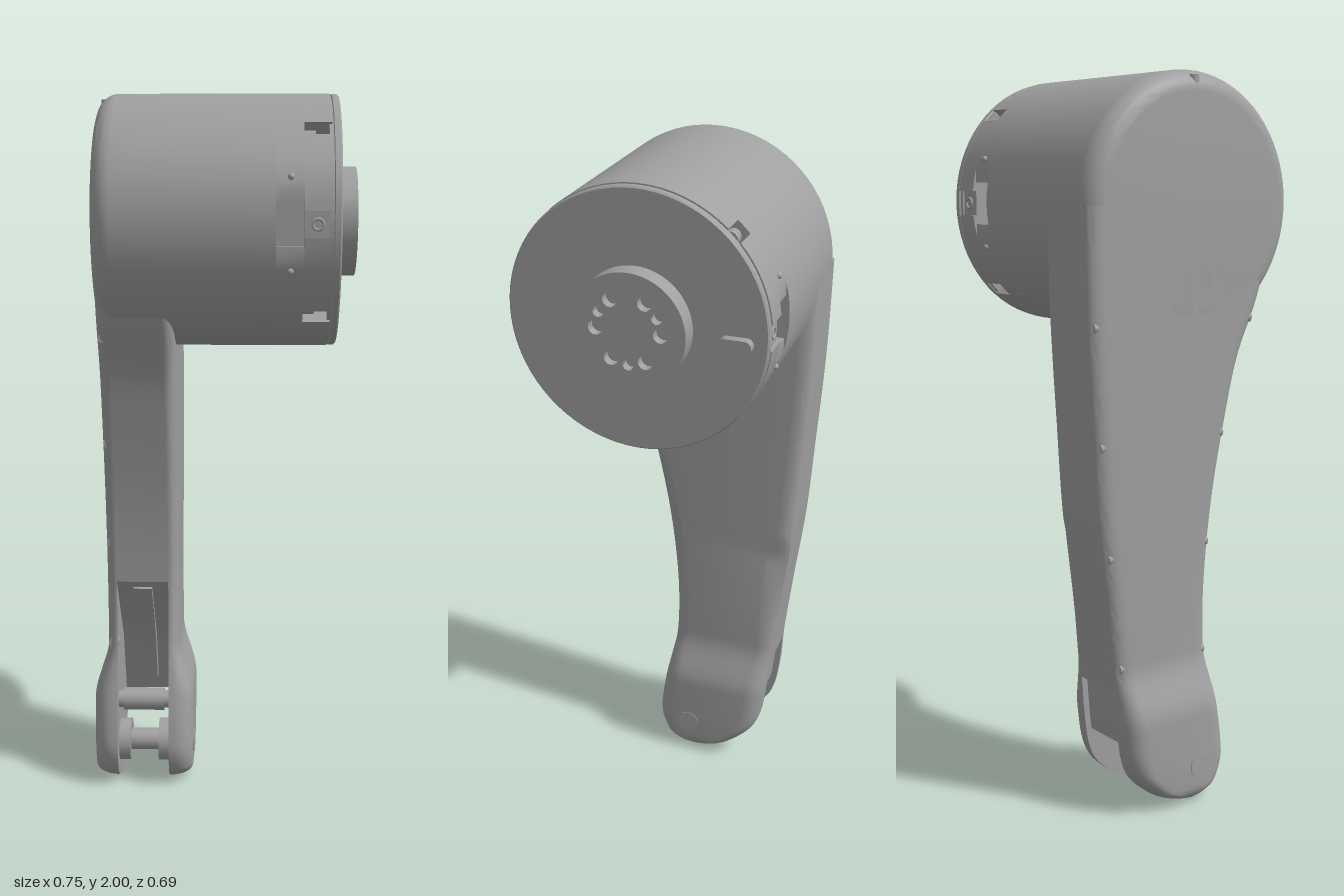
import * as THREE from 'three';
import { toCreasedNormals } from 'three/addons/utils/BufferGeometryUtils.js';

const gray = new THREE.MeshStandardMaterial({ color: 0xa0a0a0 });
gray.name = 'metal gray';

const CY = 1.655, R = 0.345;

// Side outline of the arm: [front z, y, back z]
const outline = new THREE.CatmullRomCurve3([
  [0.01, 0, -0.02], [0.055, 0.02, -0.09], [0.085, 0.05, -0.145], [0.105, 0.11, -0.205],
  [0.103, 0.16, -0.226], [0.09, 0.25, -0.24], [0.07, 0.35, -0.248], [0.058, 0.42, -0.255],
  [0.055, 0.6, -0.275], [0.08, 0.85, -0.305], [0.13, 1.1, -0.322], [0.17, 1.25, -0.332],
  [0.24, 1.41, -0.34], [0.3, CY, -0.345],
].map(p => new THREE.Vector3(...p)), false, 'centripetal').getPoints(300);

function edge(y) {
  let i = outline.findIndex(p => p.y >= y);
  if (i < 0) i = outline.length - 1;
  if (i < 1) return { zf: outline[0].x, zb: outline[0].z };
  const a = outline[i - 1], b = outline[i], t = Math.min(1, (y - a.y) / (b.y - a.y || 1));
  return { zf: a.x + (b.x - a.x) * t, zb: a.z + (b.z - a.z) * t };
}

const range = (a, b, n) => Array.from({ length: n + 1 }, (_, i) => a + (b - a) * i / n);

// Loft of horizontal sections; radii hold [rx, rz, flat] for front right, back right, back left, front left
function loft(ys, section, steps = 6) {
  const pos = [], idx = [], n = 4 * (steps + 1);
  for (const y of ys) {
    const { x0, x1, zf, zb, radii } = section(y);
    for (let k = 0; k < 4; k++) {
      const [rx, rzRaw, flat = 0] = radii[k];
      const rz = Math.min(rzRaw, (zf - zb) / 2);
      const cx = k < 2 ? x1 - rx : x0 + rx;
      const cz = k === 0 || k === 3 ? zf - rz : zb + rz;
      const a0 = k * Math.PI / 2, a1 = a0 + Math.PI / 2;
      for (let j = 0; j <= steps; j++) {
        const t = j / steps, a = a0 + t * Math.PI / 2;
        const mix = f => f(a) * (1 - flat) + (f(a0) * (1 - t) + f(a1) * t) * flat;
        pos.push(cx + rx * mix(Math.sin), y, cz + rz * mix(Math.cos));
      }
    }
  }
  for (let r = 0; r < ys.length - 1; r++) for (let i = 0; i < n; i++) {
    const a = r * n + i, b = r * n + (i + 1) % n;
    idx.push(a, b, a + n, b, b + n, a + n);
  }
  // end caps
  for (const r of [0, ys.length - 1]) {
    const c = pos.length / 3, s = section(ys[r]);
    pos.push((s.x0 + s.x1) / 2, ys[r], (s.zf + s.zb) / 2);
    for (let i = 0; i < n; i++) {
      const a = r * n + i, b = r * n + (i + 1) % n;
      if (r) idx.push(c, a, b);
      else idx.push(c, b, a);
    }
  }
  const g = new THREE.BufferGeometry();
  g.setAttribute('position', new THREE.Float32BufferAttribute(pos, 3));
  g.setIndex(idx);
  return toCreasedNormals(g, 0.6);
}

// Drum slice along x whose outline has stepped notches: { angle, steps: [[halfWidth, depth], ...] }
function notchedDisc(length, notches) {
  const pts = [], at = (a, r, w) => new THREE.Vector2(
    r * Math.cos(a) - w * Math.sin(a), r * Math.sin(a) + w * Math.cos(a));
  notches.forEach((n, i) => {
    const next = notches[(i + 1) % notches.length];
    const half = s => n.steps.flatMap(([w, d], j) => {
      const floor = at(n.angle, R - d, s * w);
      return j ? [at(n.angle, R - n.steps[j - 1][1], s * w), floor] : [floor];
    });
    pts.push(...half(-1), ...half(1).reverse());
    const a0 = n.angle + Math.asin(n.steps[0][0] / R);
    let a1 = next.angle - Math.asin(next.steps[0][0] / R);
    if (a1 <= a0) a1 += Math.PI * 2;
    for (const a of range(a0, a1, Math.ceil((a1 - a0) / 0.08))) pts.push(at(a, R, 0));
  });
  const g = new THREE.ExtrudeGeometry(new THREE.Shape(pts), { depth: length, bevelEnabled: false });
  return toCreasedNormals(g.rotateY(Math.PI / 2), 0.4);
}

export function createModel() {
  const model = new THREE.Group();
  const add = (name, geo, x = 0, y = 0, z = 0) => {
    const m = new THREE.Mesh(geo, gray);
    m.name = name;
    m.position.set(x, y, z);
    model.add(m);
  };
  const rod = (r, x0, x1, y, z, name) =>
    add(name, new THREE.CylinderGeometry(r, r, x1 - x0, 28).rotateZ(Math.PI / 2), (x0 + x1) / 2, y, z);
  const turned = pts => toCreasedNormals(
    new THREE.LatheGeometry(pts.map(p => new THREE.Vector2(...p)), 72).rotateZ(-Math.PI / 2), 0.5);

  // Side layers of the arm, swelling out into the fork prongs
  const bulge = y => 1 - THREE.MathUtils.smoothstep(y, 0.26, 0.43);
  const endInset = y => 0.05 * (1 - Math.sqrt(Math.max(0, 1 - Math.max(0, 1 - y / 0.05) ** 2)));
  const sideYs = [...range(0, 0.05, 8), ...range(0.065, 0.45, 26), ...range(0.47, 0.76, 12),
    0.79, 0.82, ...range(0.86, CY, 22)];
  for (const side of [-1, 1]) {
    add(side < 0 ? 'rightSideArm' : 'leftSideArm', loft(sideYs, y => {
      const b = bulge(y), out = 0.03 + 0.04 * b - endInset(y);
      const round = [Math.min(0.028 + 0.025 * b, out * 0.95), 0.045 + 0.01 * b], sharp = [0, 0];
      const cut = y > 0.43 && y < 0.82 ? Math.min((y - 0.43) / 0.34, (0.82 - y) / 0.05, 1) : 0;
      const chamfer = [round[0], round[1] + 0.025 * cut, cut];
      return { ...edge(y), x0: side < 0 ? -0.305 - out : -0.155, x1: side < 0 ? -0.305 : -0.155 + out,
        radii: side < 0 ? [sharp, sharp, round, round] : [round, chamfer, sharp, sharp] };
    }));
  }

  // Middle layer, with the sloping fork pocket in front
  const wall = y => (y < 0.4 ? -0.19 + (y - 0.2) * 0.35 : -0.12 + (y - 0.4) * 0.795);
  const flat = [0, 0], square = [flat, flat, flat, flat];
  add('armCore', loft([...range(0.2, 0.35, 4), 0.36, 0.4, 0.5, ...range(0.62, CY, 30)], y => {
    const e = edge(y);
    return { x0: -0.305, x1: -0.155, zf: y < 0.62 ? wall(y) : e.zf, zb: e.zb + (y < 0.355 ? 0.018 : 0),
      radii: square };
  }, 1));
  add('pocketRib', loft([0.25, 0.4, 0.48, 0.6], y => ({
    x0: -0.257, x1: -0.203, zf: wall(y) + (y < 0.45 ? 0.035 : 0.02), zb: wall(y) - 0.03, radii: square,
  }), 1));

  // Fork pin, bosses and cross rod
  rod(0.035, -0.377, -0.3, 0.11, 0, 'pinEnd');
  rod(0.035, -0.16, -0.083, 0.11, 0, 'pinEnd');
  rod(0.032, -0.31, -0.15, 0.11, 0, 'forkPin');
  rod(0.062, -0.307, -0.272, 0.11, 0, 'pinBoss');
  rod(0.062, -0.188, -0.153, 0.11, 0, 'pinBoss');
  rod(0.026, -0.307, -0.153, 0.25, 0.03, 'crossRod');
  rod(0.033, -0.29, -0.17, 0.25, 0.03, 'crossRodSleeve');

  // Drum body with a rounded outer edge
  const corner = range(0, Math.PI / 2, 8).map(a =>
    [R - 0.055 + 0.055 * Math.sin(a), -0.28 - 0.055 * Math.cos(a)]);
  add('drum', turned([[0, -0.335], ...corner, [R, 0.147], [0, 0.147]]), 0, CY);

  // Drum slices with the windows and the rim slots
  const win = angle => ({ angle, steps: [[0.09, 0.012], [0.057, 0.05]] });
  const tab = angle => ({ angle, steps: [[0.034, 0.012]] });
  const slot = angle => ({ angle, steps: [[0.022, 0.055]] });
  const q = Math.PI / 4;
  add('windowBand', notchedDisc(0.073, [win(0), win(4 * q)]), 0.147, CY);
  add('slottedBand', notchedDisc(0.073, [tab(0), slot(q), slot(3 * q), tab(4 * q), slot(5 * q), slot(7 * q)]),
    0.22, CY);
  for (const s of [-1, 1]) {
    add('tabScrew', new THREE.TorusGeometry(0.014, 0.004, 8, 20), 0.255, CY, s * 0.334);
    for (const v of [-1, 1]) {
      add('windowScrew', new THREE.SphereGeometry(0.009, 12, 8), 0.185, CY + v * 0.12, s * 0.323);
      rod(0.02, 0.215, 0.25, CY + v * 0.218, s * 0.218, 'slotScrew');
    }
  }

  // End cap, with a narrow groove behind it
  add('endCap', turned([[0, 0.285], [0.338, 0.285], [0.338, 0.296], [0.343, 0.298], [0.343, 0.313],
    [0.339, 0.317], [0, 0.317]]), 0, CY);

  // Hub with a ring of bolt holes
  const hub = new THREE.Shape().absarc(0, 0, 0.15, 0, Math.PI * 2);
  for (const [x, y, r] of [[0.085, 0, 0.019], [0.045, 0.077, 0.019], [-0.045, 0.077, 0.019],
    [-0.085, 0, 0.019], [-0.045, -0.075, 0.019], [0.045, -0.075, 0.019],
    [0, -0.088, 0.014], [-0.076, 0.042, 0.014], [0.076, 0.042, 0.014]]) {
    hub.holes.push(new THREE.Path().absarc(x, y, r, 0, Math.PI * 2, true));
  }
  const hubGeo = new THREE.ExtrudeGeometry(hub, { depth: 0.055, curveSegments: 32, bevelEnabled: false });
  add('hub', toCreasedNormals(hubGeo.rotateY(Math.PI / 2), 0.5), 0.315, CY);
  rod(0.13, 0.31, 0.345, CY, 0, 'hubFloor');

  // Pill-shaped stop on the cap
  const pill = new THREE.Shape().absarc(0.025, 0, 0.018, -Math.PI / 2, Math.PI / 2);
  pill.absarc(-0.025, 0, 0.018, Math.PI / 2, Math.PI * 1.5);
  add('stopPeg', toCreasedNormals(new THREE.ExtrudeGeometry(pill, { depth: 0.03, bevelEnabled: false })
    .rotateY(Math.PI / 2), 0.5), 0.311, 1.64, -0.262);

  // Small screws along the seam of the outer side
  for (const y of [1.35, 1.04, 0.74, 0.43]) {
    const { zf, zb } = edge(y);
    for (const z of [zf - 0.03, zb + 0.03])
      add('seamScrew', new THREE.CylinderGeometry(0.015, 0.015, 0.04, 16).rotateX(Math.PI / 2), -0.317, y, z);
  }
  add('seamScrew', new THREE.CylinderGeometry(0.015, 0.015, 0.04, 16), -0.317, 1.965, 0);
  return model;
}
